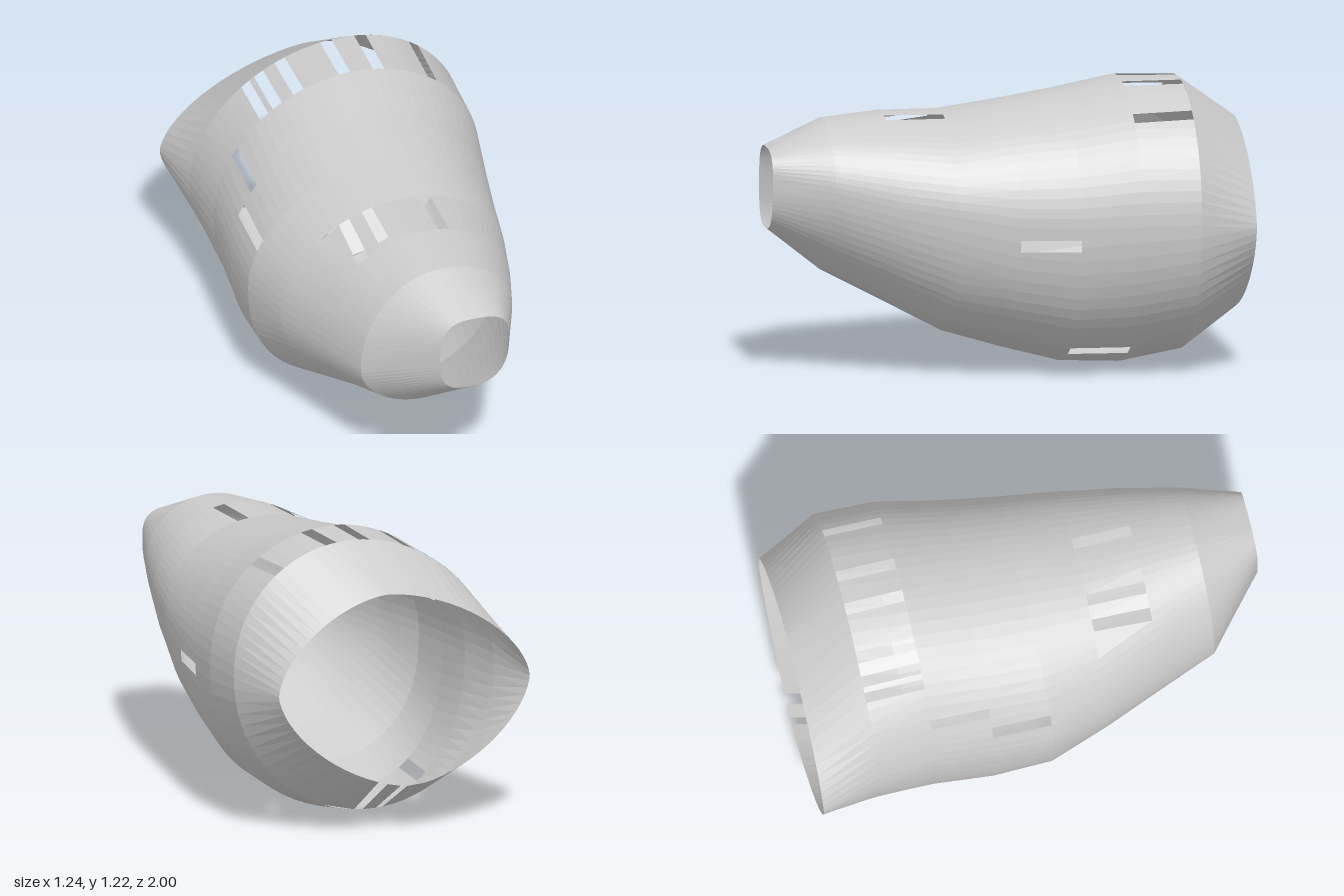
import * as THREE from 'three';

// Roundness per quadrant: upper right, upper left, lower left, lower right (below 1 is fuller than an ellipse)
const EVEN = [1, 1, 1, 1];
const FULL_BELOW = [1, 1.02, 0.86, 0.88];

// Cross-sections from front to back. Each gives the four extreme points of an oval:
// z, left x, right x, bottom y, top y, y of left / right extremes, x of bottom / top extremes, roundness
const RINGS = [
  [1, -0.055, 0.248, 0.635, 0.98, 0.8, 0.85, 0.08, 0.09, [0.65, 0.7, 0.65, 0.8]],
  [0.75, -0.32, 0.345, 0.43, 1.08, 0.64, 0.82, -0.04, 0.04, EVEN],
  [0.5, -0.41, 0.42, 0.3, 1.1, 0.62, 0.76, 0, 0.03, EVEN],
  [0.25, -0.5, 0.48, 0.165, 1.095, 0.6, 0.72, 0, 0.03, [1, 1, 1, 0.95]],
  [0, -0.565, 0.525, 0.08, 1.13, 0.59, 0.68, -0.1, 0.05, FULL_BELOW],
  [-0.25, -0.56, 0.57, 0.012, 1.17, 0.6, 0.67, -0.1, 0.05, FULL_BELOW],
  [-0.5, -0.55, 0.615, 0, 1.22, 0.62, 0.68, -0.08, 0.05, [0.97, 1.04, 0.95, 0.95]],
  [-0.75, -0.57, 0.62, 0.055, 1.215, 0.62, 0.68, 0, 0.08, [0.97, 1.04, 1, 1]],
  [-1, -0.62, 0.525, 0.2, 1.03, 0.62, 0.64, -0.08, 0.03, [1.22, 1.2, 1.22, 1.25]],
];

// Open slots per band: axis, from, to, side (x slots: 1 top, -1 bottom; y slots: 1 right, -1 left)
const SLOTS = {
  2: [['x', -0.25, -0.205, 1], ['x', -0.15, -0.105, 1], ['x', 0.1, 0.15, 1]],
  4: [['x', -0.525, -0.5, 1], ['y', 0.573, 0.623, 1]],
  5: [['x', -0.47, -0.445, 1], ['y', 0.085, 0.12, 1], ['y', 0.085, 0.12, -1]],
  6: [
    ['x', -0.345, -0.31, 1], ['x', -0.29, -0.25, 1], ['x', -0.2, -0.155, 1],
    ['x', 0, 0.05, 1], ['x', 0.15, 0.2, 1], ['x', 0.39, 0.43, 1],
  ],
  7: [['x', -0.06, -0.03, -1], ['x', 0.03, 0.07, -1]],
};

const STEP = 5;

// The quarter oval of a cross-section: its centre, reach and roundness
function quarter([, l, r, b, t, yl, yr, xb, xt, round], right, up) {
  const x = up ? xt : xb;
  const y = right ? yr : yl;
  return { x, y, dx: (right ? r : l) - x, dy: (up ? t : b) - y, k: round[up ? (right ? 0 : 1) : (right ? 3 : 2)] };
}

// Point on a cross-section at an angle in degrees
function ringPoint(ring, deg) {
  const a = THREE.MathUtils.degToRad(deg);
  const c = Math.cos(a), s = Math.sin(a);
  const q = quarter(ring, c >= 0, s >= 0);
  return [q.x + q.dx * Math.pow(Math.abs(c), q.k), q.y + q.dy * Math.pow(Math.abs(s), q.k), ring[0]];
}

// Angle at which a cross-section reaches a given x or y on the given side
function angleAt(ring, axis, value, side) {
  const alongX = axis === 'x';
  const right = alongX ? value >= quarter(ring, true, side > 0).x : side > 0;
  const up = alongX ? side > 0 : value >= quarter(ring, side > 0, true).y;
  const q = quarter(ring, right, up);
  const ratio = Math.min(1, alongX ? (value - q.x) / q.dx : (value - q.y) / q.dy);
  const part = Math.pow(ratio, 1 / q.k);
  const a = THREE.MathUtils.radToDeg(alongX ? Math.acos(part) : Math.asin(part));
  if (up) return right ? a : 180 - a;
  return right ? 360 - a : 180 + a;
}

// One band of skin between two cross-sections, leaving the slots open
function bandGeometry(front, back, slots) {
  // Slot edges as pairs of angles on the front and back sections
  const edges = slots.map(([axis, from, to, side]) => [from, to]
    .map((v) => ({ f: angleAt(front, axis, v, side), b: angleAt(back, axis, v, side) }))
    .sort((p, q) => p.f - q.f));
  for (const [start] of edges) start.open = true;

  // Regular divisions, left out where they would cross a slot
  const lines = edges.flat();
  for (let a = 0; a <= 360; a += STEP) {
    const clear = edges.every(([p, q]) => a < Math.min(p.f, p.b) - 0.5 || a > Math.max(q.f, q.b) + 0.5);
    if (clear) lines.push({ f: a, b: a });
  }
  lines.sort((p, q) => p.f + p.b - q.f - q.b);

  const positions = [];
  for (let i = 0; i < lines.length - 1; i++) {
    const p = lines[i], q = lines[i + 1];
    if (p.open) continue;
    const f0 = ringPoint(front, p.f), f1 = ringPoint(front, q.f);
    const b0 = ringPoint(back, p.b), b1 = ringPoint(back, q.b);
    positions.push(...b0, ...b1, ...f0, ...b1, ...f1, ...f0);
  }
  const geometry = new THREE.BufferGeometry();
  geometry.setAttribute('position', new THREE.Float32BufferAttribute(positions, 3));
  geometry.computeVertexNormals();
  return geometry;
}

export function createModel() {
  const group = new THREE.Group();
  group.name = 'hollowShell';
  const material = new THREE.MeshStandardMaterial({
    color: 0xcccccc, flatShading: true, side: THREE.DoubleSide,
  });

  // Skin bands from the nose opening to the rear opening
  for (let i = 0; i < RINGS.length - 1; i++) {
    const band = new THREE.Mesh(bandGeometry(RINGS[i], RINGS[i + 1], SLOTS[i] || []), material);
    band.name = i === 0 ? 'noseBand' : i === RINGS.length - 2 ? 'rearBand' : `shellBand${i}`;
    group.add(band);
  }
  return group;
}
